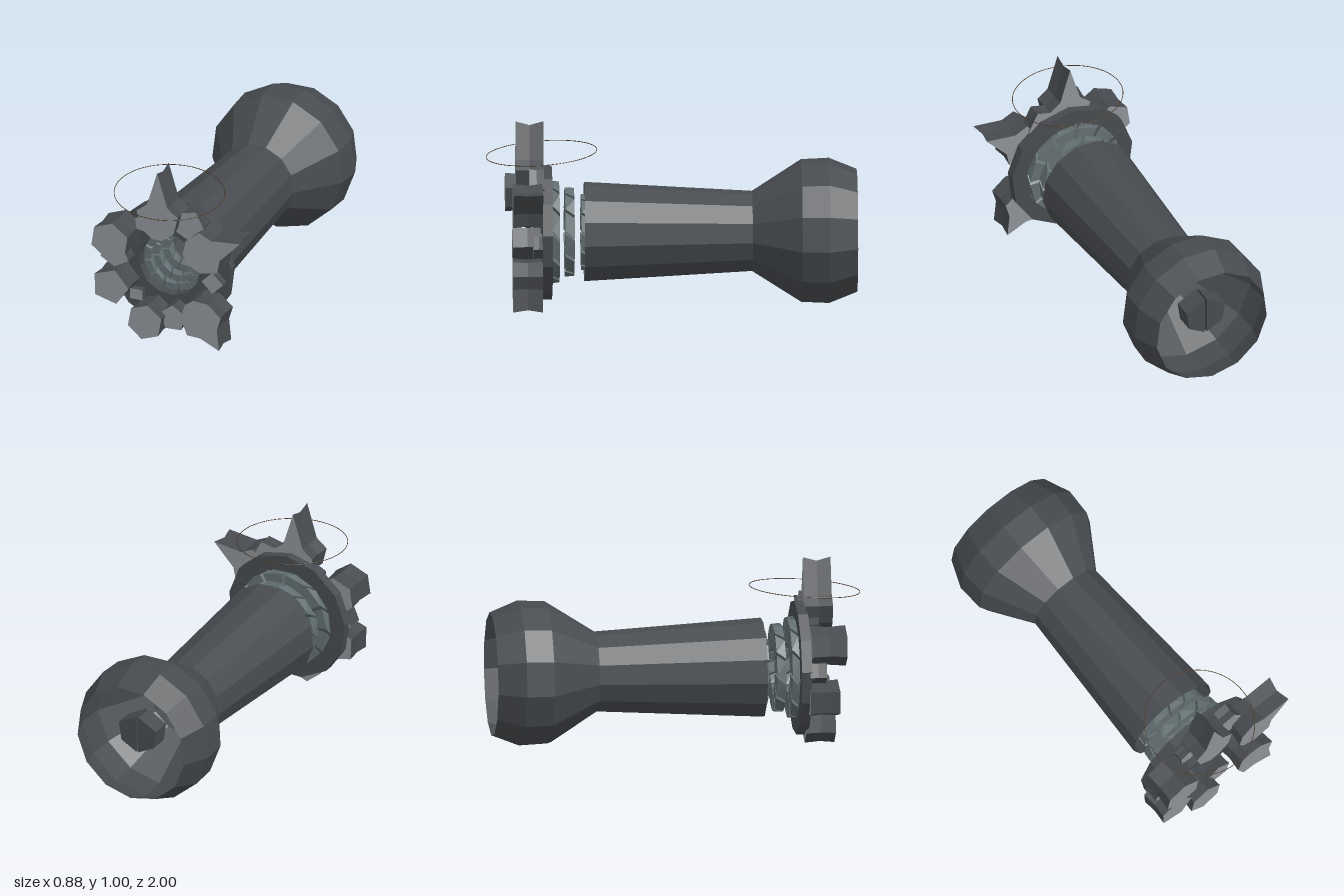
import * as THREE from 'three';

const AX = -0.05, AY = 0.4; // barrel axis, running along z

const mat = (color, extra = {}) =>
  new THREE.MeshStandardMaterial({ color, flatShading: true, ...extra });
const dark = mat(0x474b4f, { side: THREE.DoubleSide });
const darkSolid = mat(0x474b4f);
const steel = mat(0x626e71);
const pale = mat(0x8c9196);
const brown = mat(0x4a3520);

const rad = THREE.MathUtils.degToRad;
const shapeOf = (pts) => new THREE.Shape(pts.map(([x, y]) => new THREE.Vector2(x, y)));
const ngon = (r, n, a0 = 0) => Array.from({ length: n }, (_, i) => {
  const a = a0 + i * 2 * Math.PI / n;
  return [r * Math.cos(a), r * Math.sin(a)];
});

function add(group, name, geometry, material) {
  const mesh = new THREE.Mesh(geometry, material);
  mesh.name = name;
  group.add(mesh);
  return mesh;
}

// Flat outline extruded from z0 to z1
function slab(shape, z0, z1, steps = 1) {
  const g = new THREE.ExtrudeGeometry(shape, { depth: z1 - z0, steps, bevelEnabled: false });
  return g.translate(0, 0, z0);
}

// Crystal block around its own centre, sides pinched in halfway along the depth
function crystalGeometry(pts, z0, z1) {
  const g = slab(shapeOf(pts), z0, z1, 2);
  const p = g.attributes.position, mid = (z0 + z1) / 2;
  for (let i = 0; i < p.count; i++) {
    if (Math.abs(p.getZ(i) - mid) < 0.001) p.setXY(i, p.getX(i) * 0.93, p.getY(i) * 0.93);
  }
  g.computeVertexNormals();
  return g;
}

// Spiked outline pointing along +x, mirrored about the x axis
function spikeOutline(tip) {
  const half = [[0.093, 0.06], [0.045, 0.122], [-0.055, 0.097], [-0.108, 0.03]];
  const other = half.map(([x, y]) => [x, -y]).reverse();
  return [[tip, 0], ...half, ...other];
}

// Ring of skewed blocks around the axis
function segmentRing(name, inner, outer, z0, z1, count = 12) {
  const ring = new THREE.Group();
  ring.name = name;
  const step = 2 * Math.PI / count, h = step * 0.43;
  const at = (r, a) => [r * Math.cos(a), r * Math.sin(a)];
  const g = slab(shapeOf([at(inner, -h), at(outer, -h), at(outer, h), at(inner, h)]), 0, z1 - z0);
  const p = g.attributes.position;
  for (let i = 0; i < p.count; i++) {
    const t = p.getZ(i) / (z1 - z0) * 0.16, x = p.getX(i), y = p.getY(i);
    p.setXY(i, x * Math.cos(t) - y * Math.sin(t), x * Math.sin(t) + y * Math.cos(t));
  }
  g.computeVertexNormals();
  for (let i = 0; i < count; i++) {
    const m = add(ring, 'ringSegment', g, steel);
    m.rotation.z = (i + 0.5) * step;
    m.position.z = z0;
  }
  return ring;
}

// Spikes: centre x, y, tip length, direction in degrees, back z, front z
const SPIKES = [
  ['topSpike', -0.06, 0.715, 0.29, 90, 0.69, 0.84],
  ['upperLeftSpike', 0.21, 0.58, 0.255, 25.6, 0.7, 0.86],
  ['lowerLeftSpike', 0.2, 0.19, 0.2, -55, 0.7, 0.86],
];

// Crystals: centre x, y, radius, height factor, sides, first corner in degrees, back z, front z
const CRYSTALS = [
  ['upperRightCrystal', -0.32, 0.57, 0.115, 0.95, 6, 22, 0.7, 0.89],
  ['middleRightCrystal', -0.34, 0.435, 0.087, 0.78, 5, -90, 0.69, 0.78],
  ['lowerRightCrystal', -0.335, 0.28, 0.11, 0.95, 5, -70, 0.69, 0.85],
  ['smallRightCrystal', -0.23, 0.205, 0.053, 0.8, 4, 45, 0.69, 0.74],
  ['bottomCrystal', -0.13, 0.105, 0.105, 1, 6, 20, 0.69, 0.85],
  ['bottomLeftCrystal', 0.01, 0.13, 0.078, 1, 5, 20, 0.69, 0.79],
  ['smallLeftCrystal', 0.225, 0.365, 0.063, 1, 4, 90, 0.69, 0.75],
  ['smallTopRightCrystal', -0.18, 0.645, 0.053, 1, 5, 80, 0.69, 0.76],
  ['smallTopLeftCrystal', 0.1, 0.69, 0.09, 1.1, 5, 65, 0.69, 0.77],
];

export function createModel() {
  const model = new THREE.Group();
  model.name = 'crystalCannon';

  const core = new THREE.Group();
  core.name = 'core';
  core.position.set(AX, AY, 0);
  model.add(core);

  // Open barrel flaring into the hollow rear bulb
  const profile = [[0.335, -1], [0.395, -0.85], [0.388, -0.7], [0.218, -0.435], [0.27, 0.47]]
    .map(([r, z]) => new THREE.Vector2(r, z));
  const barrel = add(core, 'barrelAndBulb', new THREE.LatheGeometry(profile, 13), dark);
  barrel.rotation.x = Math.PI / 2;

  // Front plate with its round opening
  const plate = shapeOf(ngon(0.365, 13, 0.12));
  plate.holes.push(new THREE.Path(ngon(0.18, 13).reverse().map(([x, y]) => new THREE.Vector2(x, y))));
  add(core, 'frontPlate', slab(plate, 0.645, 0.7), darkSolid);

  // Segmented rings, stepping inwards towards the barrel
  core.add(segmentRing('frontRing', 0.14, 0.275, 0.605, 0.645));
  core.add(segmentRing('middleRing', 0.12, 0.24, 0.525, 0.575));
  core.add(segmentRing('rearRing', 0.1, 0.205, 0.43, 0.487));

  // Split hexagonal plug inside the bulb
  for (const s of [-1, 1]) {
    const half = [[0.006, -0.105], [0.1, -0.055], [0.115, 0.05], [0.006, 0.11]].map(([x, y]) => [s * x, y]);
    const m = add(core, 'plugHalf', slab(shapeOf(half), -0.93, -0.82), darkSolid);
    m.position.y = 0.02;
  }

  // Spikes and crystals on the plate: pale faces, dark sides
  for (const [name, x, y, tip, angle, z0, z1] of SPIKES) {
    const m = add(model, name, crystalGeometry(spikeOutline(tip), z0, z1), [pale, darkSolid]);
    m.position.set(x, y, 0);
    m.rotation.z = rad(angle);
  }
  for (const [name, x, y, r, squash, sides, angle, z0, z1] of CRYSTALS) {
    const outline = ngon(r, sides, rad(angle)).map(([u, v]) => [u, v * squash]);
    add(model, name, crystalGeometry(outline, z0, z1), [pale, darkSolid]).position.set(x, y, 0);
  }

  // Thin tilted hoop around the top spike
  const hoop = new THREE.Group();
  hoop.name = 'hoop';
  hoop.position.set(AX, 0.832, 0.7);
  hoop.rotation.set(0.072, 0, -0.04);
  add(hoop, 'hoopWire', new THREE.TorusGeometry(0.299, 0.002, 6, 64).rotateX(Math.PI / 2), brown);
  model.add(hoop);

  return model;
}
